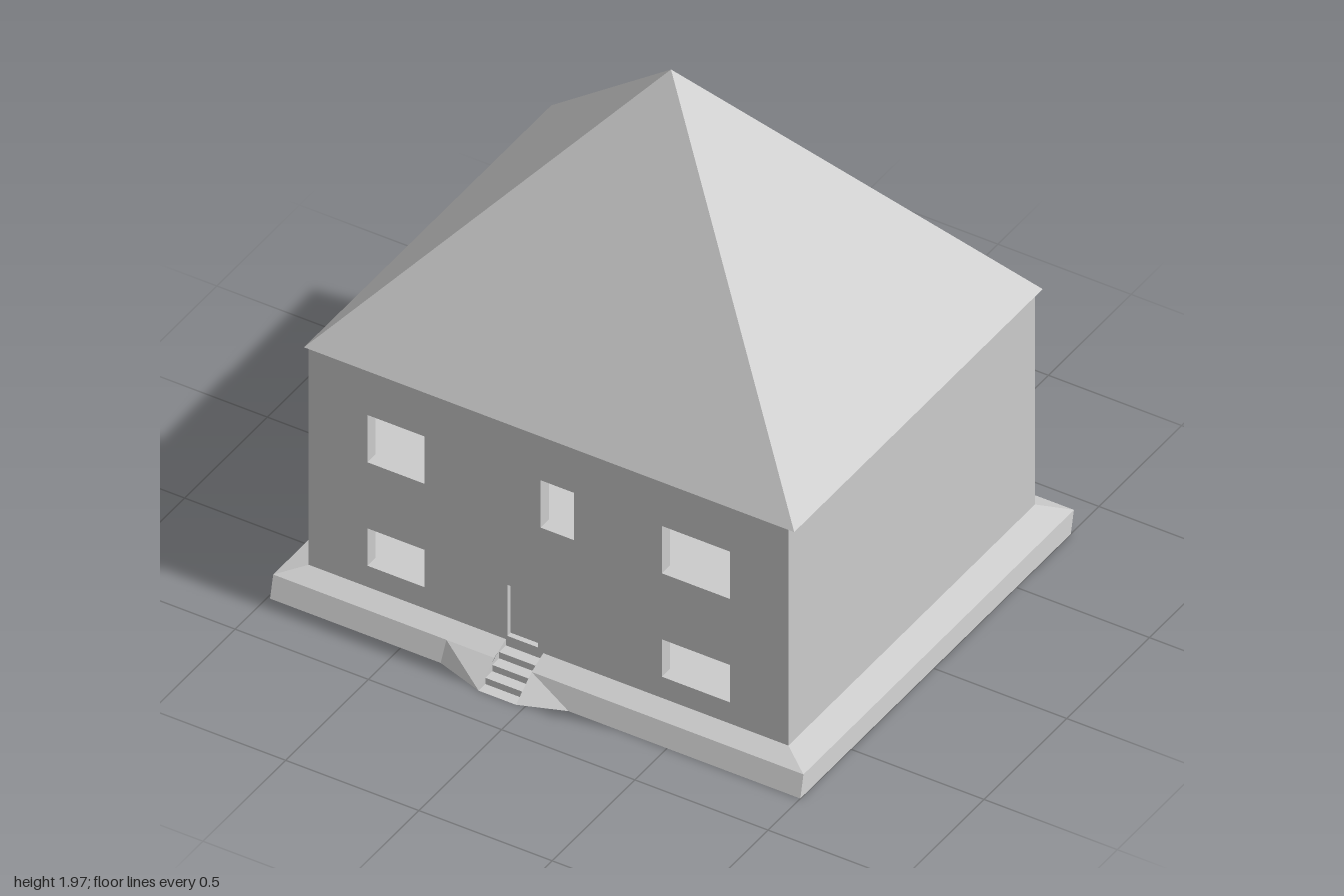
import * as THREE from 'three';

const X0 = -0.91, X1 = 0.89, Z0 = -0.79, Z1 = 0.7, BASE = 0.1, EAVE = 0.97, T = 0.05;
const grey = new THREE.MeshStandardMaterial({ color: 0xcccccc, flatShading: true });
const greyThin = new THREE.MeshStandardMaterial({ color: 0xcccccc, flatShading: true, side: THREE.DoubleSide });

export function createModel() {
  const house = new THREE.Group();
  house.name = 'house';

  const add = (name, geometry, material = grey) => {
    const mesh = new THREE.Mesh(geometry, material);
    mesh.name = name;
    house.add(mesh);
    return mesh;
  };

  // box given by its two extreme corners
  const box = (name, x0, y0, z0, x1, y1, z1) =>
    add(name, new THREE.BoxGeometry(x1 - x0, y1 - y0, z1 - z0))
      .position.set((x0 + x1) / 2, (y0 + y1) / 2, (z0 + z1) / 2);

  // surface skinned between successive rows of [x, y, z] points
  const skin = (rows) => {
    const n = rows[0].length, index = [];
    for (let r = 0; r < rows.length - 1; r++) {
      for (let i = 0; i < n - 1; i++) {
        const a = r * n + i, b = a + n;
        index.push(a, b, b + 1, a, b + 1, a + 1);
      }
    }
    const g = new THREE.BufferGeometry();
    g.setAttribute('position', new THREE.Float32BufferAttribute(rows.flat(2), 3));
    g.setIndex(index);
    const flat = g.toNonIndexed();
    flat.computeVertexNormals();
    return flat;
  };

  const rectangle = (path, [x0, x1, y0, y1]) => {
    path.moveTo(x0, y0);
    path.lineTo(x1, y0);
    path.lineTo(x1, y1);
    path.lineTo(x0, y1);
    path.closePath();
    return path;
  };

  // wall slab pierced by rectangular openings
  const piercedWall = (name, openings, z) => {
    const shape = rectangle(new THREE.Shape(), [X0, X1, BASE, EAVE]);
    for (const o of openings) shape.holes.push(rectangle(new THREE.Path(), o));
    add(name, new THREE.ExtrudeGeometry(shape, { depth: T, bevelEnabled: false })).position.z = z;
  };

  // openings as [x0, x1, y0, y1]
  const upper = [0.6, 0.79], lower = [0.185, 0.335];
  const frontSpans = [[-0.69, -0.475], [0.415, 0.67]];
  const backSpans = [[-0.69, -0.33], [0.35, 0.6]];
  const door = [-0.165, -0.05, 0.115, 0.32];
  const landing = [-0.04, 0.085];
  const twoFloors = (spans) => spans.flatMap((s) => [[...s, ...upper], [...s, ...lower]]);

  piercedWall('frontWall', [...twoFloors(frontSpans), [...landing, ...upper], door], Z1 - T);
  piercedWall('backWall', twoFloors(backSpans), Z0);
  box('leftWall', X1 - T, BASE, Z0 + T, X1, EAVE, Z1 - T);
  box('rightWall', X0, BASE, Z0 + T, X0 + T, EAVE, Z1 - T);

  // sloping lintels inside the upper windows
  const lintel = (name, [x0, x1], zOut, zIn) => {
    const profile = [[0.79, zOut], [0.765, zIn], [0.79, zIn]];
    add(name, skin(profile.map(([y, z]) => [[x0, y, z], [x1, y, z]])), greyThin);
  };
  [...frontSpans, landing].forEach((s) => lintel('frontLintel', s, Z1, Z1 - T));
  backSpans.forEach((s) => lintel('backLintel', s, Z0, Z0 + T));

  // recessed door leaf
  box('door', door[0], door[2], Z1 - 0.04, door[1], door[3], Z1 - 0.02);

  // floors and room partitions
  const inX0 = X0 + T, inX1 = X1 - T, inZ0 = Z0 + T, inZ1 = Z1 - T;
  box('groundFloor', inX0, 0.115, inZ0, inX1, 0.135, inZ1);
  box('upperFloor', inX0, 0.47, inZ0, inX1, 0.5, inZ1);
  for (const [y0, y1] of [[0.135, 0.47], [0.5, EAVE - 0.01]]) {
    box('spineWall', inX0, y0, -0.07, inX1, y1, -0.03);
    box('hallWallRight', -0.26, y0, -0.03, -0.22, y1, inZ1);
    box('hallWallLeft', 0.2, y0, -0.03, 0.24, y1, inZ1);
  }

  // pyramid roof with slim eaves
  const eaves = [[-0.925, 0.705], [0.915, 0.705], [0.915, -0.797], [-0.925, -0.79], [-0.925, 0.705]];
  const ring = (fn) => eaves.map(fn);
  add('roof', skin([
    ring(() => [-0.01, 1.97, -0.04]),
    ring(([x, z]) => [x, EAVE, z]),
    ring(() => [-0.01, EAVE, -0.04]),
  ]), greyThin);

  // hollow plinth skirt, running from one side of the steps round to the other
  const SL = -0.03, SR = -0.17;
  const plinthRing = (y, xl, xr, zf, zb, zStep) => [
    [SL, zStep], [0.13, zf], [xl, zf], [xl, zb], [xr, zb], [xr, zf], [-0.35, zf], [SR, zStep],
  ].map(([x, z]) => [x, y, z]);
  add('plinthSkirt', skin([
    plinthRing(BASE, X1, X0, Z1, Z0, Z1),
    plinthRing(0.07, 0.99, -1, 0.77, -0.865, 0.77),
    plinthRing(0, 1, -0.99, 0.805, -0.83, 0.865),
  ]), greyThin);

  // entrance steps as a folded sheet with side cheeks
  const steps = [[Z1, BASE]];
  const count = 4, run = 0.165 / count, rise = BASE / count;
  for (let i = 0; i < count; i++) {
    steps.push([Z1 + run * i, BASE - rise * (i + 1)]);
    steps.push([Z1 + run * (i + 1), BASE - rise * (i + 1)]);
  }
  add('entranceSteps', skin(steps.map(([z, y]) => [[SR, y, z], [SL, y, z]])), greyThin);

  const slopeAt = (z) => (z < 0.77 ? BASE - (z - Z1) * 0.03 / 0.07 : 0.07 * (0.865 - z) / 0.095);
  for (const x of [SR, SL]) {
    add('stepCheek', skin(steps.map(([z, y]) => [[x, y, z], [x, Math.max(y, slopeAt(z)), z]])), greyThin);
  }

  return house;
}
